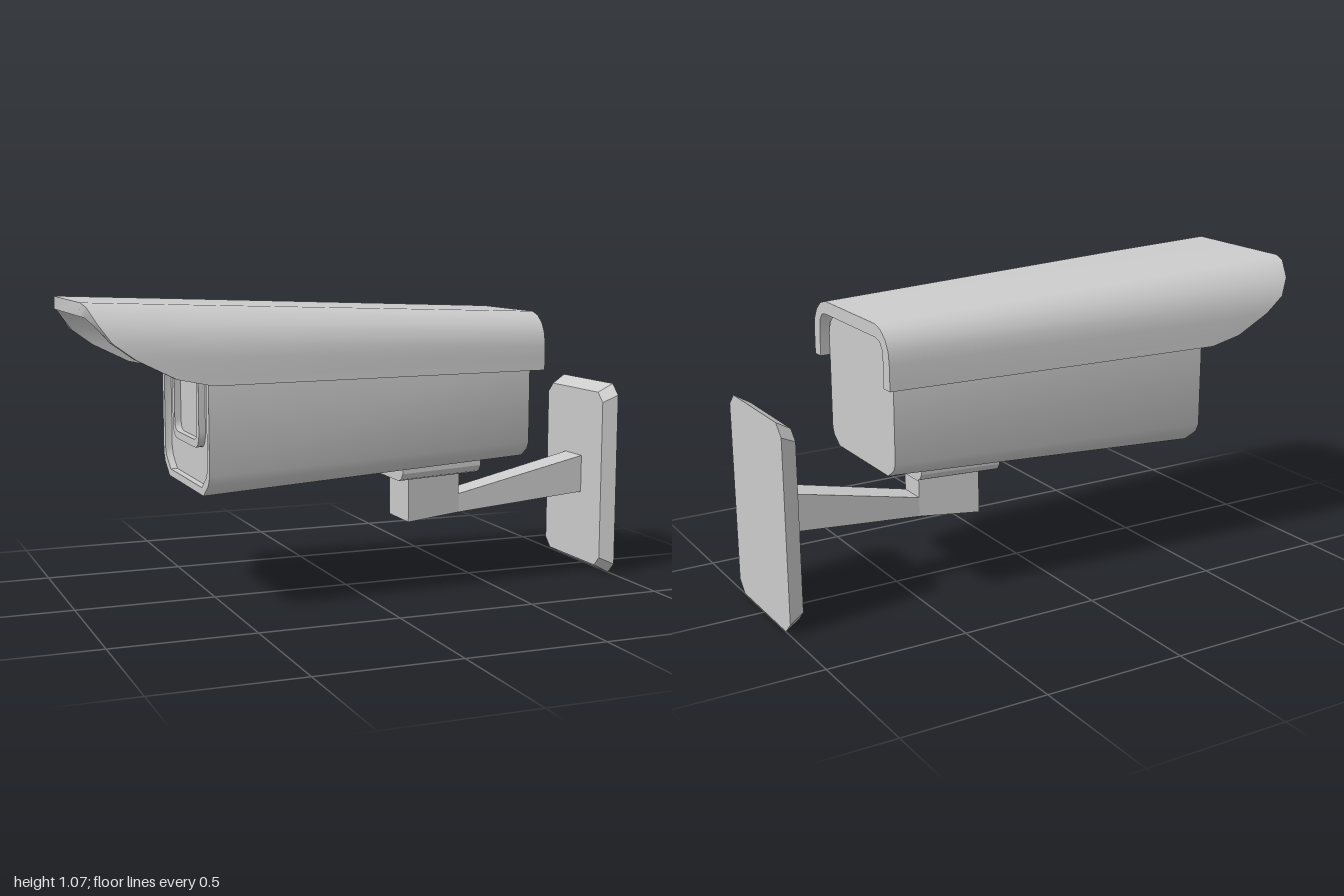
import * as THREE from 'three';
import { toCreasedNormals } from 'three/addons/utils/BufferGeometryUtils.js';

const material = new THREE.MeshStandardMaterial({ color: 0xcccccc });

// Closed solid through a row of point loops, capped at both ends, wound outwards.
function loft(rings, crease = 0.6) {
  const tris = [];
  const add = (a, b, c) => {
    const n = b.clone().sub(a).cross(c.clone().sub(a));
    if (n.length() > 1e-8) tris.push([a, b, c]);
  };
  const n = rings[0].length;
  for (let r = 0; r < rings.length - 1; r++) {
    for (let i = 0; i < n; i++) {
      const j = (i + 1) % n, A = rings[r], B = rings[r + 1];
      add(A[i], A[j], B[j]);
      add(A[i], B[j], B[i]);
    }
  }
  const cap = (ring, flip) => {
    const c = ring.reduce((s, p) => s.add(p), new THREE.Vector3()).divideScalar(n);
    ring.forEach((p, i) => {
      const q = ring[(i + 1) % n];
      flip ? add(c, q, p) : add(c, p, q);
    });
  };
  cap(rings[0], true);
  cap(rings[rings.length - 1], false);
  const volume = tris.reduce((s, [a, b, c]) => s + a.dot(b.clone().cross(c)), 0);
  const flat = tris.flatMap(([a, b, c]) => (volume < 0 ? [a, c, b] : [a, b, c]));
  const g = new THREE.BufferGeometry().setFromPoints(flat);
  return toCreasedNormals(g, crease);
}

// Full loop at one x from a half profile of [z, y] points running top to bottom.
const loopAt = (x, half) => [
  ...half.map(([z, y]) => new THREE.Vector3(x, y, z)),
  ...half.slice().reverse().map(([z, y]) => new THREE.Vector3(x, y, -z)),
];

// Rectangle with cut corners as a half profile.
const octagon = (h, y0, y1, c) => [[h - c, y1], [h, y1 - c], [h, y0 + c], [h - c, y0]];

function hoodGeometry() {
  // Half of the rear edge [z, y] and of the swept visor edge [x, y, z].
  const rear = [[0.19, 1], [0.232, 0.988], [0.265, 0.96], [0.284, 0.925], [0.29, 0.88], [0.29, 0.84], [0.29, 0.795]];
  const front = [[-1, 1.065, 0.225], [-0.99, 1.053, 0.27], [-0.965, 1, 0.325], [-0.925, 0.94, 0.353],
    [-0.85, 0.885, 0.36], [-0.72, 0.82, 0.363], [-0.6, 0.795, 0.365]];
  const t = 0.045;
  const rings = rear.map(([rz, ry], i) => {
    const [fx, fy, fz] = front[i];
    const a = i / 6 * Math.PI / 2;
    // Inward direction turns from straight down to straight sideways.
    const k = Math.min(1, a * 1.6);
    const dz = i === 0 ? 0 : -t * Math.sin(k * Math.PI / 2);
    const dy = i === 0 ? -t : -t * Math.cos(k * Math.PI / 2);
    const my = THREE.MathUtils.lerp(ry, fy, (0.65 + 0.6) / (0.65 - fx));
    const outer = [[0.65, ry, rz], [-0.6, my, fz], [fx, fy, fz]];
    const inner = outer.map(([x, y, z]) => [x, y + dy, z + dz]).reverse();
    return [...outer, ...inner].map((p) => new THREE.Vector3(...p));
  });
  const mirrored = rings.map((ring) => ring.map((p) => new THREE.Vector3(p.x, p.y, -p.z)));
  return loft([...rings.slice().reverse(), ...mirrored], 0.6);
}

function bodyGeometry() {
  const rear = [[0.165, 0.953], [0.205, 0.942], [0.234, 0.913], [0.244, 0.873], [0.244, 0.53], [0.232, 0.505], [0.19, 0.475]];
  const front = [[0.2, 0.985], [0.25, 0.97], [0.285, 0.935], [0.3, 0.885], [0.3, 0.487], [0.284, 0.455], [0.223, 0.41]];
  // Thin rim around a sunken front face.
  const inset = front.map(([z, y]) => [z * 0.91, 0.7 + (y - 0.7) * 0.91]);
  return loft([loopAt(0.615, rear), loopAt(-0.6, front), loopAt(-0.6, inset), loopAt(-0.575, inset)]);
}

function roundedRect(path, h, y0, y1, r) {
  path.moveTo(-h + r, y0);
  path.lineTo(h - r, y0);
  path.quadraticCurveTo(h, y0, h, y0 + r);
  path.lineTo(h, y1 - r);
  path.quadraticCurveTo(h, y1, h - r, y1);
  path.lineTo(-h + r, y1);
  path.quadraticCurveTo(-h, y1, -h, y1 - r);
  path.lineTo(-h, y0 + r);
  path.quadraticCurveTo(-h, y0, -h + r, y0);
  return path;
}

function windowFrameGeometry() {
  const shape = roundedRect(new THREE.Shape(), 0.17, 0.56, 0.89, 0.06);
  shape.holes.push(roundedRect(new THREE.Path(), 0.143, 0.587, 0.863, 0.04));
  const g = new THREE.ExtrudeGeometry(shape, { depth: 0.025, bevelEnabled: false, curveSegments: 6 });
  g.rotateY(-Math.PI / 2);
  g.translate(-0.573, 0, 0);
  return toCreasedNormals(g, 0.6);
}

export function createModel() {
  const group = new THREE.Group();
  const add = (name, geometry) => {
    const mesh = new THREE.Mesh(geometry, material);
    mesh.name = name;
    group.add(mesh);
  };

  add('sunHood', hoodGeometry());
  add('cameraBody', bodyGeometry());
  add('windowFrame', windowFrameGeometry());

  // Bevelled shoe under the body, tilted with its underside.
  const shoe = (y) => [[0.15, y + 0.07], [0.15, y + 0.03], [0.135, y + 0.008], [0.115, y]];
  add('mountShoe', loft([loopAt(0.16, shoe(0.395)), loopAt(0.47, shoe(0.41))], 0.3));

  // Tapered block and the arm reaching back to the wall.
  const bar = (h, y0, y1) => [[h, y1], [h, y0]];
  add('armBlock', loft([loopAt(0.21, bar(0.088, 0.235, 0.415)), loopAt(0.43, bar(0.052, 0.25, 0.42))], 0.3));
  add('wallArm', loft([loopAt(0.43, bar(0.052, 0.25, 0.32)), loopAt(0.95, bar(0.06, 0.295, 0.436))], 0.3));

  // Wall plate with cut corners and sloped edges.
  add('wallPlate', loft([
    loopAt(0.945, octagon(0.205, 0.03, 0.69, 0.035)),
    loopAt(1, octagon(0.222, 0, 0.722, 0.04)),
  ], 0.2));

  return group;
}
